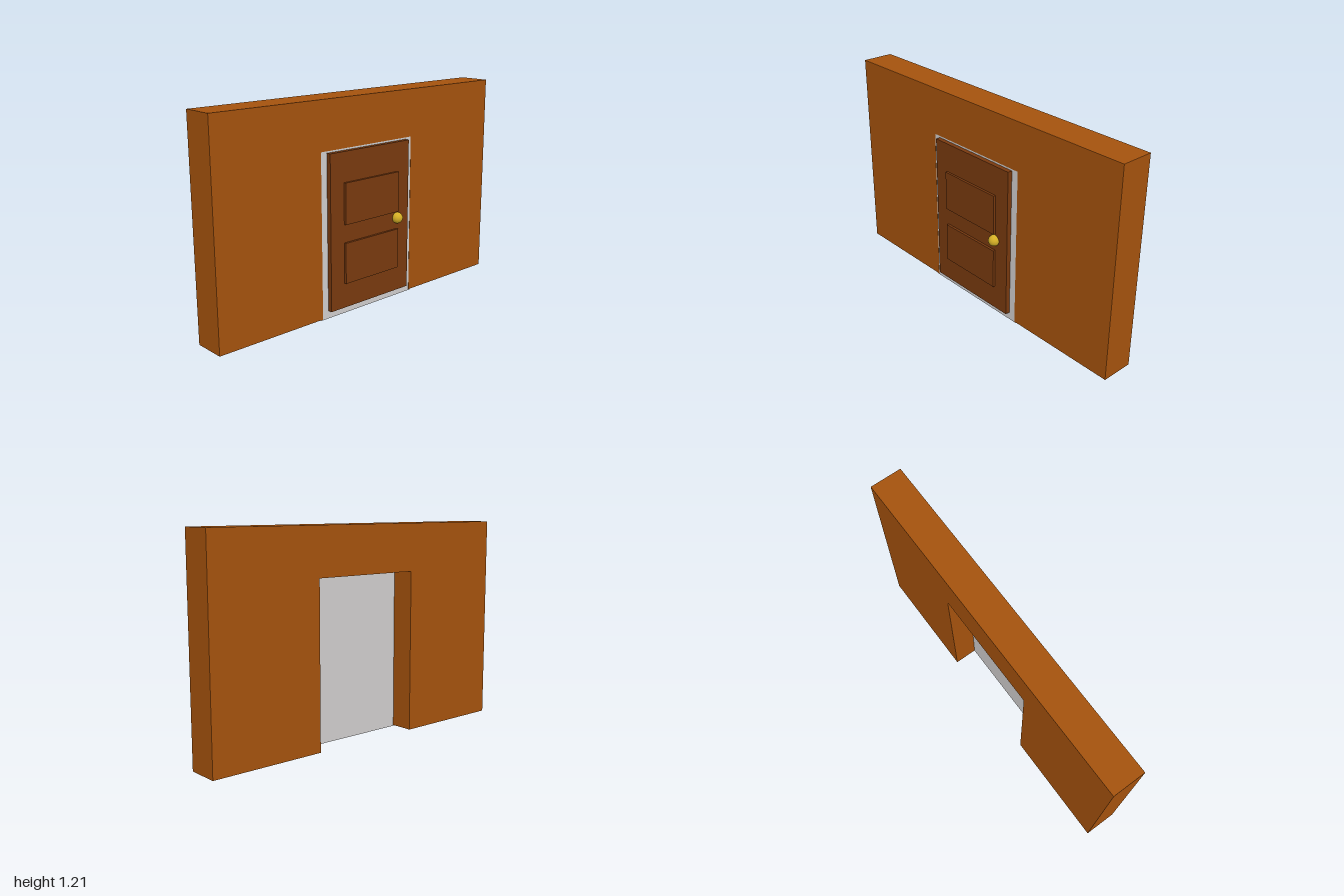
import * as THREE from 'three';

const material = (name, color) => {
  const m = new THREE.MeshStandardMaterial({ color });
  m.name = name;
  return m;
};

export function createModel() {
  const wallBrown = material('wallBrown', 0xa4520d);
  const doorBrown = material('doorBrown', 0x78390e);
  const frameGrey = material('frameGrey', 0xcfcdcd);
  const brass = material('brass', 0xd4af25);

  const group = new THREE.Group();
  group.name = 'doorInWall';

  const add = (name, geometry, mat) => {
    const mesh = new THREE.Mesh(geometry, mat);
    mesh.name = name;
    group.add(mesh);
    return mesh;
  };

  // Box given by its lower and upper limits on each axis
  const addBox = (name, mat, [x0, x1], [y0, y1], [z0, z1]) =>
    add(name, new THREE.BoxGeometry(x1 - x0, y1 - y0, z1 - z0), mat)
      .position.set((x0 + x1) / 2, (y0 + y1) / 2, (z0 + z1) / 2);

  // Wall outline with the doorway cut out of its lower edge
  const outline = [
    [-1, 0.005], [-0.335, 0.005], [-0.335, 0.933], [0.335, 0.933],
    [0.335, 0.005], [1, 0.005], [1, 1.205], [-1, 1.205],
  ].map(([x, y]) => new THREE.Vector2(x, y));
  const wall = new THREE.ExtrudeGeometry(new THREE.Shape(outline), { depth: 0.185, bevelEnabled: false });
  wall.translate(0, 0, -0.125);
  add('wall', wall, wallBrown);

  // Frame slab filling the front of the doorway, its edges tucked into the wall
  addBox('doorFrame', frameGrey, [-0.348, 0.348], [0, 0.938], [0.01, 0.059]);

  // Door leaf with two raised panels
  addBox('door', doorBrown, [-0.295, 0.292], [0.045, 0.923], [0.055, 0.086]);
  addBox('upperPanel', doorBrown, [-0.2, 0.2], [0.523, 0.755], [0.08, 0.1]);
  addBox('lowerPanel', doorBrown, [-0.2, 0.2], [0.188, 0.42], [0.08, 0.1]);

  // Round knob
  add('knob', new THREE.SphereGeometry(0.032, 32, 16), brass).position.set(0.198, 0.485, 0.094);

  return group;
}
